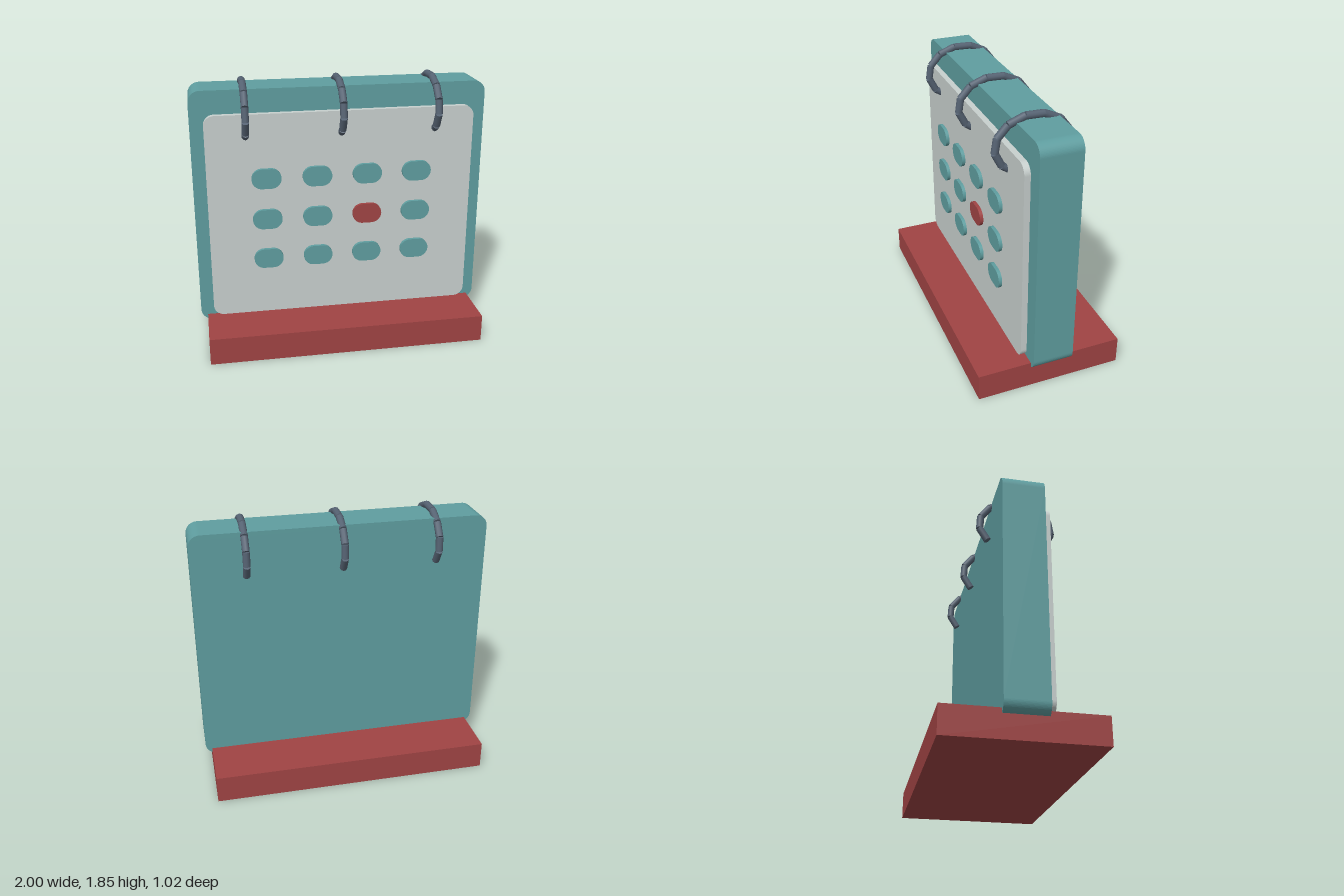
import * as THREE from 'three';

const mat = (name, color) => {
  const m = new THREE.MeshStandardMaterial({ color });
  m.name = name;
  return m;
};

// Slab with rounded front corners, centred on x, from z0 to z1
function roundedSlab(w, h, r, z0, z1) {
  const x = w / 2, y = h / 2, s = new THREE.Shape();
  s.absarc(x - r, y - r, r, 0, Math.PI / 2);
  s.absarc(-x + r, y - r, r, Math.PI / 2, Math.PI);
  s.absarc(-x + r, -y + r, r, Math.PI, Math.PI * 1.5);
  s.absarc(x - r, -y + r, r, Math.PI * 1.5, Math.PI * 2);
  s.closePath();
  return new THREE.ExtrudeGeometry(s, { depth: z1 - z0, bevelEnabled: false, curveSegments: 8 })
    .translate(0, 0, z0);
}

export function createModel() {
  const teal = mat('teal', 0x5f9ea0);
  const red = mat('red', 0xa04444);
  const paper = mat('paper grey', 0xc8d0ce);
  const steel = mat('dark steel', 0x566373);

  const model = new THREE.Group();
  model.name = 'deskCalendar';
  const add = (parent, name, geometry, material, x = 0, y = 0, z = 0) => {
    const mesh = new THREE.Mesh(geometry, material);
    mesh.name = name;
    mesh.position.set(x, y, z);
    parent.add(mesh);
    return mesh;
  };

  // Base, backing board and page
  add(model, 'base', new THREE.BoxGeometry(1.91, 0.19, 1.016), red, 0, 0.095, 0);
  add(model, 'board', roundedSlab(2, 1.65, 0.08, -0.141, 0.141), teal, 0, 0.975, 0);
  add(model, 'page', roundedSlab(1.82, 1.436, 0.07, 0.154, 0.195), paper, 0, 0.926, 0);

  // Day markers, one of them highlighted
  const days = new THREE.Group();
  days.name = 'dayMarkers';
  model.add(days);
  const dayGeometry = roundedSlab(0.2, 0.138, 0.069, 0.208, 0.232);
  for (let row = 0; row < 3; row++) {
    for (let col = 0; col < 4; col++) {
      const today = row === 1 && col === 2;
      add(days, today ? 'highlightedDay' : 'day', dayGeometry, today ? red : teal,
        (col - 1.5) * 0.343, 1.208 - row * 0.289);
    }
  }

  // Binding rings: straight links along a flattened arc, from back to front
  const up = new THREE.Vector3(0, 1, 0);
  const links = 10;
  const arcPoint = (i) => {
    const a = THREE.MathUtils.degToRad(-130 + (284 * i) / links);
    return new THREE.Vector3(0, 1.637 + 0.195 * Math.cos(a), 0.024 + 0.25 * Math.sin(a));
  };
  for (const x of [-0.642, 0, 0.642]) {
    const ring = new THREE.Group();
    ring.name = 'bindingRing';
    ring.position.x = x;
    model.add(ring);
    for (let i = 0; i < links; i++) {
      const a = arcPoint(i), b = arcPoint(i + 1);
      const dir = b.clone().sub(a);
      const link = add(ring, 'ringLink',
        new THREE.CylinderGeometry(0.025, 0.025, dir.length(), 10), steel);
      link.position.copy(a).add(b).multiplyScalar(0.5);
      link.quaternion.setFromUnitVectors(up, dir.normalize());
    }
  }
  return model;
}
